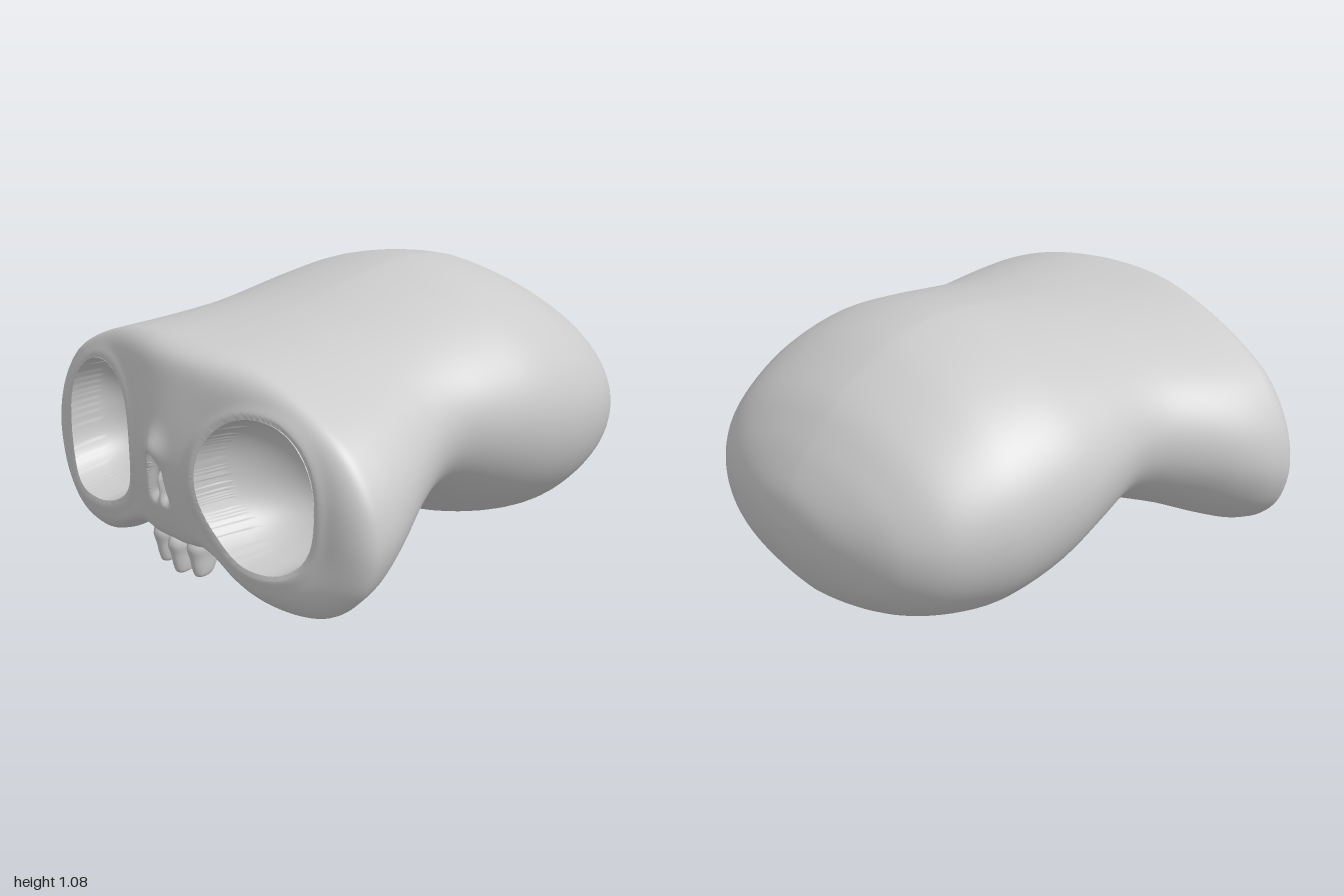
import * as THREE from 'three';

const SEG = 240, BODY = 64, CAP = 130, FACE_Y = 0.52;
const V2 = (x, y) => new THREE.Vector2(x, y);
const bell = (v, w) => Math.exp(-((v / w) ** 2));
const { lerp, clamp, smoothstep } = THREE.MathUtils;

// Braincase sections from back to front: z, top, bottom, half width, blend to face outline
const SECTIONS = [
  [-1, 0.48, 0.48, 0, 0],
  [-0.98, 0.6, 0.36, 0.2, 0],
  [-0.92, 0.71, 0.23, 0.41, 0],
  [-0.85, 0.8, 0.15, 0.535, 0],
  [-0.75, 0.9, 0.075, 0.63, 0],
  [-0.6, 0.99, 0.02, 0.7, 0],
  [-0.45, 1.05, 0, 0.735, 0],
  [-0.25, 1.078, 0.045, 0.75, 0],
  [-0.05, 1.058, 0.14, 0.726, 0.01],
  [0.1, 1.036, 0.235, 0.688, 0.08],
  [0.2, 1.022, 0.28, 0.664, 0.2],
  [0.3, 1.008, 0.295, 0.656, 0.35],
  [0.42, 0.992, 0.295, 0.681, 0.52],
  [0.55, 0.975, 0.285, 0.727, 0.74],
  [0.66, 0.963, 0.28, 0.775, 0.92],
  [0.74, 0.955, 0.28, 0.8, 1],
];
const tracks = [1, 2, 3, 4].map((c) => new THREE.SplineCurve(SECTIONS.map((s) => V2(s[0], s[c]))));

// Half outline of the face, bottom to top, as angle and radius about its centre
const outline = new THREE.SplineCurve([
  V2(0, 0.215), V2(0.1, 0.212), V2(0.18, 0.222), V2(0.28, 0.185), V2(0.4, 0.12), V2(0.53, 0.086),
  V2(0.68, 0.11), V2(0.8, 0.19), V2(0.87, 0.29), V2(0.9, 0.43), V2(0.865, 0.59), V2(0.76, 0.74),
  V2(0.6, 0.84), V2(0.4, 0.915), V2(0.2, 0.95), V2(0, 0.957),
]).getPoints(400).map((p) => [Math.atan2(p.y - FACE_Y, p.x), Math.hypot(p.x, p.y - FACE_Y)]);

function faceRadius(angle) {
  let i = 1;
  while (i < outline.length - 1 && outline[i][0] < angle) i++;
  const [a, ra] = outline[i - 1], [b, rb] = outline[i];
  return ra + (rb - ra) * clamp((angle - a) / (b - a || 1), 0, 1);
}

// Shared directions around every ring, with a slight ridge above and a keel below;
// rimZ is where the face starts to round over, further back at the temples
const spokes = Array.from({ length: SEG }, (_, j) => {
  const t = (j / SEG) * Math.PI * 2, c = Math.cos(t), s = Math.sin(t);
  const angle = Math.atan2(0.44 * s, 0.9 * Math.abs(c));
  const r = faceRadius(angle);
  return {
    c, s: s - (s < 0 ? -0.13 : 0.06) * Math.abs(c) * s ** 4,
    fx: r * Math.cos(angle) * Math.sign(c), fy: r * Math.sin(angle),
    rimZ: 0.71 + 0.06 * s * s,
  };
});

// Distance measure of an eye socket: 1 on its edge, squarer at the lower outer corner
const EYE = { x: 0.447, y: 0.525, a: 0.258, b: 0.265 };
function socket(x, y) {
  const dx = (Math.abs(x) - EYE.x) / EYE.a, dy = (y - EYE.y) / EYE.b;
  const n = dx > 0 && dy < 0 ? 2.8 : 2.1;
  return (Math.abs(dx) ** n + Math.abs(dy) ** n) ** (1 / n);
}

// Arched nose opening with a septum in its lower half
function noseDepth(x, y) {
  if (y > 0.59 || y < 0.37) return 0;
  const q = Math.abs(x) / (0.062 * Math.sqrt((0.59 - y) / 0.2) + 1e-6);
  if (q >= 1) return 0;
  const septum = 0.8 * bell(x, 0.018) * (1 - smoothstep(y, 0.47, 0.55));
  return 0.055 * (1 - q ** 3) * smoothstep(y, 0.37, 0.43) * (1 - septum);
}

// Depth of the face surface; the sockets are bowls, deepest in their lower half
function faceZ(x, y, s, d, rimZ) {
  const ax = Math.abs(x);
  let z = 0.84 + 0.13 * bell(y - 0.55, 0.42) * bell(x, 0.32);
  z += 0.028 * bell(x, 0.05) * bell(y - 0.6, 0.06);
  z += 0.065 * bell(ax - 0.5, 0.24) * bell(y - 0.21, 0.13);
  z += 0.01 * bell(d - 1.06, 0.1);
  z = rimZ + (z - rimZ) * Math.sqrt(Math.max(0, 1 - s ** (7 + 10 * bell(x, 0.3))));
  if (d < 1) z -= 0.3 * Math.sqrt(1 - d ** 2.2) * (1 - 0.2 * (y - EYE.y) / EYE.b);
  return z - noseDepth(x, y);
}

function skullGeometry() {
  const pos = [], index = [];
  // Braincase rings
  for (let i = 0; i <= BODY; i++) {
    const u = (i / BODY) ** 1.15;
    const [top, bottom, half, blend] = tracks.map((t) => t.getPoint(u).y);
    const z = tracks[0].getPoint(u).x, mid = lerp(bottom, top, 0.53);
    for (const p of spokes) {
      const y = mid + (p.s > 0 ? top - mid : mid - bottom) * p.s;
      pos.push(
        lerp(half * p.c, p.fx, blend),
        lerp(y, FACE_Y + p.fy, blend),
        z + (p.rimZ - 0.74) * blend);
    }
  }
  // Face rings, closing on the middle of the face
  for (let i = 1; i <= CAP; i++) {
    const s = 1 - (i / CAP) ** 1.3;
    for (const p of spokes) {
      let x = p.fx * s, y = FACE_Y + p.fy * s, d = socket(x, y);
      // Pull nearby points onto the socket edge for a clean rim
      if (Math.abs(d - 1) < 0.04) {
        const cx = EYE.x * Math.sign(x);
        x = cx + (x - cx) / d;
        y = EYE.y + (y - EYE.y) / d;
        d = 1;
      }
      pos.push(x, y, faceZ(x, y, s, d, lerp(0.74, p.rimZ, s)));
    }
  }
  for (let i = 0; i < BODY + CAP; i++) {
    for (let j = 0; j < SEG; j++) {
      const k = (j + 1) % SEG;
      const a = i * SEG + j, b = i * SEG + k, c = a + SEG, e = b + SEG;
      index.push(a, b, c, b, e, c);
    }
  }
  const g = new THREE.BufferGeometry();
  g.setAttribute('position', new THREE.Float32BufferAttribute(pos, 3));
  g.setIndex(index);
  g.computeVertexNormals();
  return g;
}

// Tapered tooth, deeper than wide, root buried in the jaw and stretched backwards
function toothGeometry() {
  const profile = new THREE.SplineCurve([
    V2(0, 0), V2(0.016, 0.006), V2(0.024, 0.035), V2(0.03, 0.08), V2(0.037, 0.12), V2(0.028, 0.155), V2(0, 0.18),
  ]).getPoints(24).map((p) => V2(Math.max(0, p.x), p.y));
  const g = new THREE.LatheGeometry(profile, 20);
  const p = g.attributes.position;
  for (let i = 0; i < p.count; i++) p.setZ(i, p.getZ(i) * (p.getZ(i) < 0 ? 2.6 : 1.6));
  g.computeVertexNormals();
  return g;
}

export function createModel() {
  const model = new THREE.Group();
  const material = new THREE.MeshStandardMaterial({ color: 0xcccccc });
  const skull = new THREE.Mesh(skullGeometry(), material);
  skull.name = 'skull';
  model.add(skull);

  const teeth = new THREE.Group();
  teeth.name = 'teeth';
  const geometry = toothGeometry();
  for (const x of [-0.098, 0, 0.098]) {
    const tooth = new THREE.Mesh(geometry, material);
    tooth.name = 'tooth';
    tooth.position.set(x, x ? 0.102 : 0.09, x ? 0.845 : 0.855);
    teeth.add(tooth);
  }
  model.add(teeth);
  return model;
}
